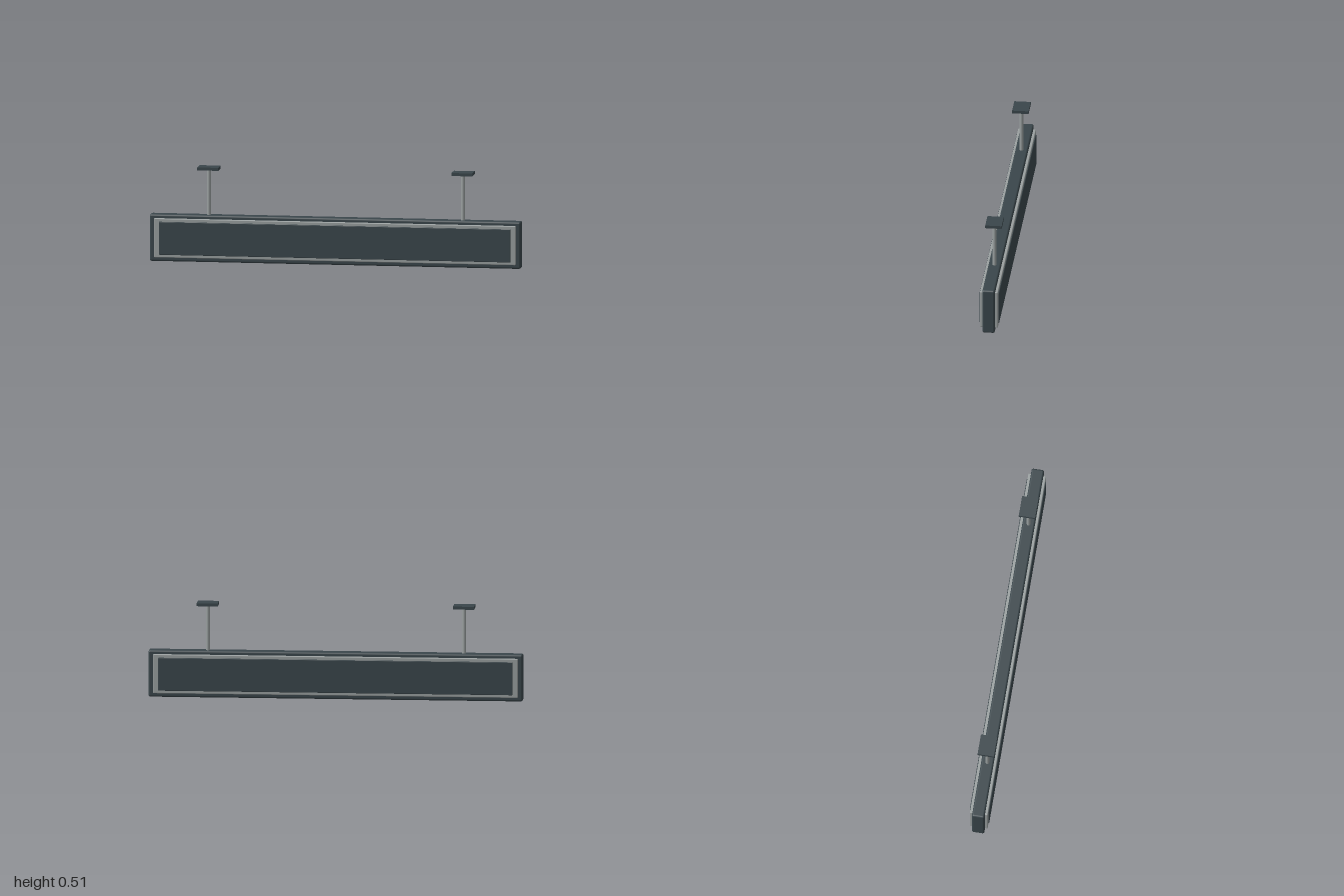
import * as THREE from 'three';
import { RoundedBoxGeometry } from 'three/addons/geometries/RoundedBoxGeometry.js';

export function createModel() {
  const dark = new THREE.MeshStandardMaterial({ color: 0x3a464b });
  dark.name = 'dark slate';
  const grey = new THREE.MeshStandardMaterial({ color: 0x9aa0a0 });
  grey.name = 'light grey metal';

  const group = new THREE.Group();
  group.name = 'hangingSign';

  function add(name, geometry, material, x, y, z) {
    const mesh = new THREE.Mesh(geometry, material);
    mesh.name = name;
    mesh.position.set(x, y, z);
    group.add(mesh);
  }

  // Long housing with softened edges
  add('housing', new RoundedBoxGeometry(2, 0.252, 0.067, 3, 0.01), dark, 0, 0.126, 0);

  // Raised trim and display panel on both faces
  for (const [side, s] of [['front', 1], ['back', -1]]) {
    add(side + 'Trim', new RoundedBoxGeometry(1.95, 0.21, 0.024, 2, 0.004), grey, 0, 0.127, s * 0.036);
    add(side + 'Panel', new RoundedBoxGeometry(1.895, 0.178, 0.012, 2, 0.003), dark, 0, 0.126, s * 0.0465);
  }

  // Ceiling rods with mounting plates
  for (const [side, s] of [['left', 1], ['right', -1]]) {
    add(side + 'Rod', new THREE.CylinderGeometry(0.0102, 0.0102, 0.255, 20), grey, s * 0.685, 0.3725, 0);
    add(side + 'MountPlate', new THREE.BoxGeometry(0.113, 0.016, 0.088), dark, s * 0.685, 0.503, 0);
  }

  return group;
}
